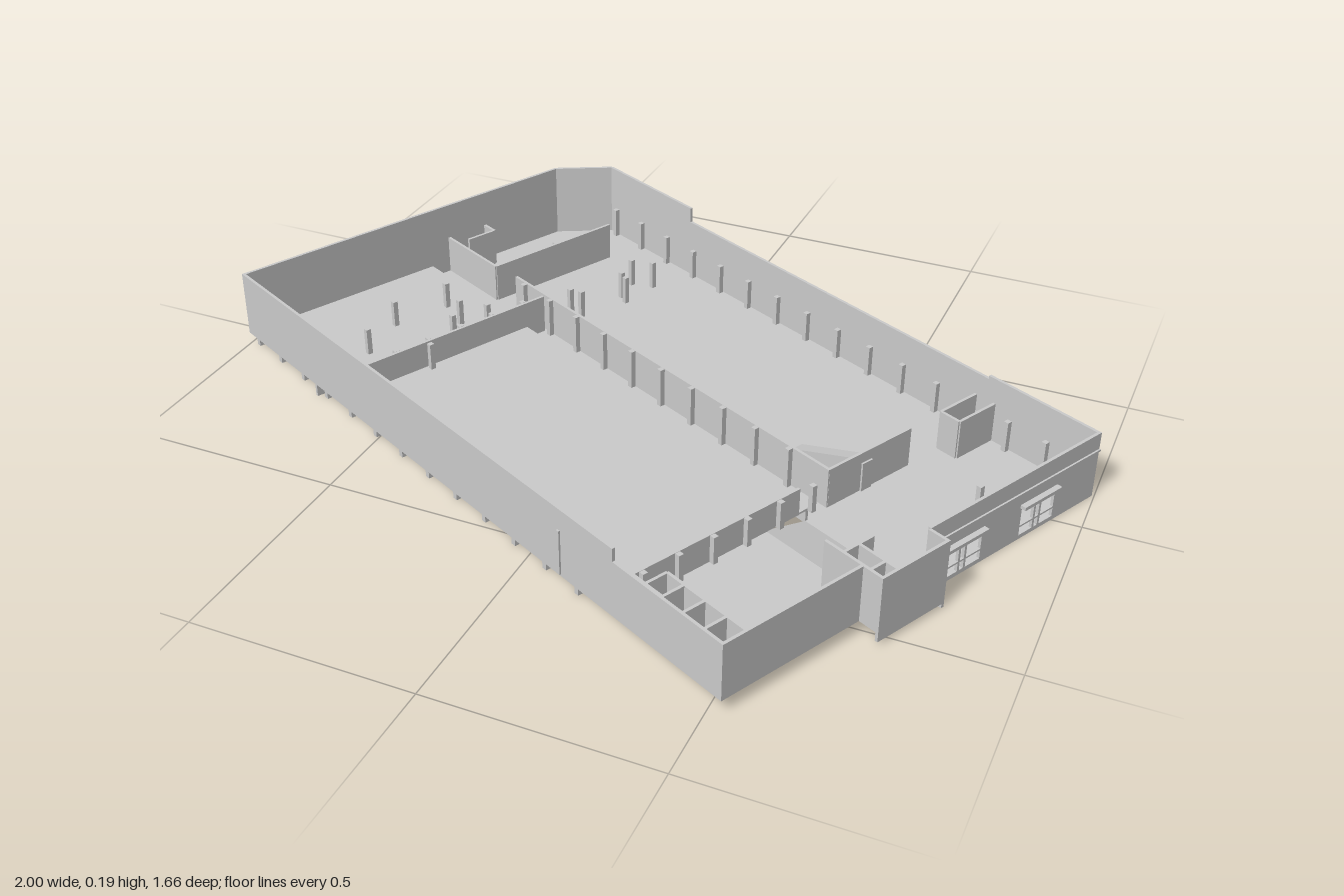
import * as THREE from 'three';

const mat = new THREE.MeshStandardMaterial({ color: 0xcccccc, flatShading: true, side: THREE.DoubleSide });
const T = 0.007;                         // wall thickness
const X0 = -0.865, X1 = 0.838, Z0 = -0.55, Z1 = 0.505;  // building footprint
const UP = 0.035;                        // raised floor level
const STEP = -0.015;                     // line where the floor level changes

export function createModel() {
  const model = new THREE.Group();
  model.name = 'openRoofBuilding';
  const plan = new THREE.Group();        // built square, then turned as a whole
  plan.name = 'building';
  plan.rotation.y = -0.46;
  model.add(plan);

  const add = (name, geo) => {
    const m = new THREE.Mesh(geo, mat);
    m.name = name;
    plan.add(m);
    return m;
  };
  const box = (name, xa, xb, ya, yb, za, zb) =>
    add(name, new THREE.BoxGeometry(xb - xa, yb - ya, zb - za))
      .position.set((xa + xb) / 2, (ya + yb) / 2, (za + zb) / 2);
  // Straight wall between two plan points
  const wall = (name, xa, za, xb, zb, y0, y1, t = T) => {
    const m = add(name, new THREE.BoxGeometry(Math.hypot(xb - xa, zb - za), y1 - y0, t));
    m.position.set((xa + xb) / 2, (y0 + y1) / 2, (za + zb) / 2);
    m.rotation.y = -Math.atan2(zb - za, xb - xa);
  };
  const polygon = pts => new THREE.Shape(pts.map(p => new THREE.Vector2(...p)));
  const column = (x, z, y0, y1, s = 0.012) =>
    box('column', x - s / 2, x + s / 2, y0, y1, z - s / 2, z + s / 2);

  // Floors: low rear hall with a cut corner, raised front hall, ramp in the foyer
  const rear = polygon([[X0, -STEP], [X1, -STEP], [X1, -Z0], [-0.772, -Z0], [X0, 0.426]]);
  const rearGeo = new THREE.ExtrudeGeometry(rear, { depth: 0.005, bevelEnabled: false });
  add('rearFloor', rearGeo.rotateX(-Math.PI / 2));
  box('frontFloor', X0, 0.52, UP - 0.005, UP, STEP, Z1);
  box('foyerFloor', 0.52, X1, UP - 0.005, UP, 0.1, Z1);
  box('floorRiser', X0, 0.52, 0, UP, STEP - T, STEP);
  const ramp = polygon([[STEP, 0], [STEP, 0.005], [0.1, UP], [0.1, UP - 0.005]]);
  const rampGeo = new THREE.ExtrudeGeometry(ramp, { depth: X1 - 0.52, bevelEnabled: false });
  const rampMesh = add('foyerRamp', rampGeo);
  rampMesh.rotation.y = -Math.PI / 2;
  rampMesh.position.set(X1, 0, 0);

  // Outer walls, higher towards the left end
  const h = T / 2;
  wall('frontWallTall', X0, Z1 - h, 0.53, Z1 - h, UP - 0.005, 0.19);
  wall('frontWallLow', 0.53, Z1 - h, X1, Z1 - h, UP - 0.005, 0.16);
  wall('leftWallFront', X0 + h, STEP, X0 + h, Z1, UP - 0.005, 0.19);
  wall('leftWallRear', X0 + h, -0.426, X0 + h, STEP, 0, 0.19);
  wall('cornerWall', X0 + h, -0.426, -0.772, Z0 + h, 0, 0.19);
  wall('rearWallTall', -0.772, Z0 + h, -0.45, Z0 + h, 0, 0.19);
  wall('rearWallMiddle', -0.45, Z0 + h, 0.54, Z0 + h, 0, 0.152);
  wall('rearWallLow', 0.54, Z0 + h, X1, Z0 + h, 0, 0.16);
  wall('rightWallFront', X1 - h, 0.155, X1 - h, Z1, UP - 0.005, 0.16);

  // Right wall with two entrance openings, frames and canopies
  const entry = polygon([[Z0, 0], [-0.03, 0], [-0.03, 0.16], [Z0, 0.16]]);
  const openings = [[-0.19, -0.08], [-0.415, -0.31]];
  for (const [a, b] of openings)
    entry.holes.push(new THREE.Path([[a, 0.01], [a, 0.08], [b, 0.08], [b, 0.01]].map(p => new THREE.Vector2(...p))));
  const entryMesh = add('entranceWall', new THREE.ExtrudeGeometry(entry, { depth: T, bevelEnabled: false }));
  entryMesh.rotation.y = -Math.PI / 2;
  entryMesh.position.x = X1;
  for (const [a, b] of openings) {
    box('entranceCanopy', X1, X1 + 0.013, 0.08, 0.088, a - 0.005, b + 0.005);
    box('entranceTransom', X1 - T, X1, 0.03, 0.034, a, b);
    for (const f of [0.42, 0.58]) {
      const z = a + (b - a) * f;
      box('entranceMullion', X1 - T, X1, 0.01, 0.08, z - 0.003, z + 0.003);
    }
  }
  box('entranceBand', X1, X1 + 0.004, 0.115, 0.12, Z0, -0.03);

  // Stair tower on the right wall
  const [sx, ex, sz, ez] = [0.735, 0.888, -0.03, 0.155];
  wall('towerOuterWall', ex - h, sz, ex - h, ez, 0.01, 0.16);
  wall('towerFrontWall', sx, ez - h, ex, ez - h, UP - 0.005, 0.16);
  wall('towerRearWall', X1, sz + h, ex, sz + h, 0, 0.16);
  wall('towerInnerWall', sx + h, sz + 0.05, sx + h, ez, UP, 0.11);
  wall('towerPartition', sx, 0.06, ex, 0.06, UP, 0.11);
  wall('towerPartition', 0.81, 0.06, 0.81, ez, UP, 0.11);
  wall('towerPartition', sx, 0.105, 0.81, 0.105, UP, 0.11);
  box('towerFloor', sx, ex, UP - 0.005, UP, sz, ez);
  for (let i = 0; i < 6; i++)
    box('towerStep', 0.80 + i * 0.012, 0.812 + i * 0.012, UP, UP + 0.01 * (i + 1), 0.0, 0.05);

  // Projecting box on the left wall
  box('leftAnnex', -0.945, X0, 0.02, 0.11, 0.165, 0.28);

  // Inner partitions: [x, z, x, z, bottom]
  const partitions = [
    [-0.577, -0.085, 0.515, -0.085, 0],
    [X0, -0.078, -0.653, -0.078, 0],
    [-0.654, -0.078, -0.654, -0.44, 0],
    [-0.455, -0.075, -0.455, 0.46, 0],
    [0.522, 0.01, 0.522, 0.46, UP],
    [0.512, -0.085, 0.512, -0.33, 0],
    [0.51, -0.43, 0.51, Z0, 0], [0.563, -0.43, 0.563, Z0, 0], [0.51, -0.43, 0.563, -0.43, 0],
    [-0.818, -0.19, -0.818, -0.11, 0], [X0, -0.19, -0.818, -0.19, 0],
    [-0.556, 0.456, -0.455, 0.456, 0], [-0.556, 0.456, -0.556, Z1, 0],
    [0.56, 0.395, X1, 0.395, UP],
    [0.522, 0.45, 0.61, 0.45, UP],
  ];
  for (const [xa, za, xb, zb, y] of partitions) wall('partition', xa, za, xb, zb, y, 0.1);
  for (const x of [0.56, 0.61, 0.67, 0.73, 0.785]) wall('officePartition', x, 0.395, x, Z1, UP, 0.1);

  // Sloping stair flight in the rear hall
  const flight = polygon([[0.31, 0.005], [0.52, 0.005], [0.52, 0.075], [0.49, 0.075]]);
  add('rampFlight', new THREE.ExtrudeGeometry(flight, { depth: 0.03, bevelEnabled: false })).position.z = -0.21;

  // Columns along the front, the rear wall and the middle partition
  for (let i = 0; i < 16; i++) {
    const x = -0.845 + i * 0.104;
    column(x, 0.488, i < 13 ? 0 : UP, 0.1);
    if (x > -0.76) column(x, -0.535, 0, 0.08);
    if (x > -0.57 && x < 0.5) column(x, -0.075, 0, 0.1);
  }
  for (let z = -0.02; z < 0.46; z += 0.09) {
    column(-0.465, z, 0, 0.1);
    column(0.532, z, UP, 0.1);
  }

  // Free-standing columns
  const free = [[-0.5, -0.39], [-0.464, -0.328], [-0.437, -0.319], [-0.455, -0.422], [-0.478, -0.176],
    [-0.451, -0.189], [-0.66, 0.069], [-0.568, 0.092], [-0.51, 0.052], [-0.519, 0.146], [-0.439, 0.262],
    [-0.591, 0.338], [-0.663, 0.217], [-0.66, -0.43], [-0.7, -0.3], [0.73, -0.31]];
  for (const [x, z] of free) column(x, z, 0, z > 0 ? 0.1 : 0.075);

  // Downpipe on the front wall
  box('downpipe', 0.362, 0.37, UP, 0.14, Z1, Z1 + 0.004);
  return model;
}
